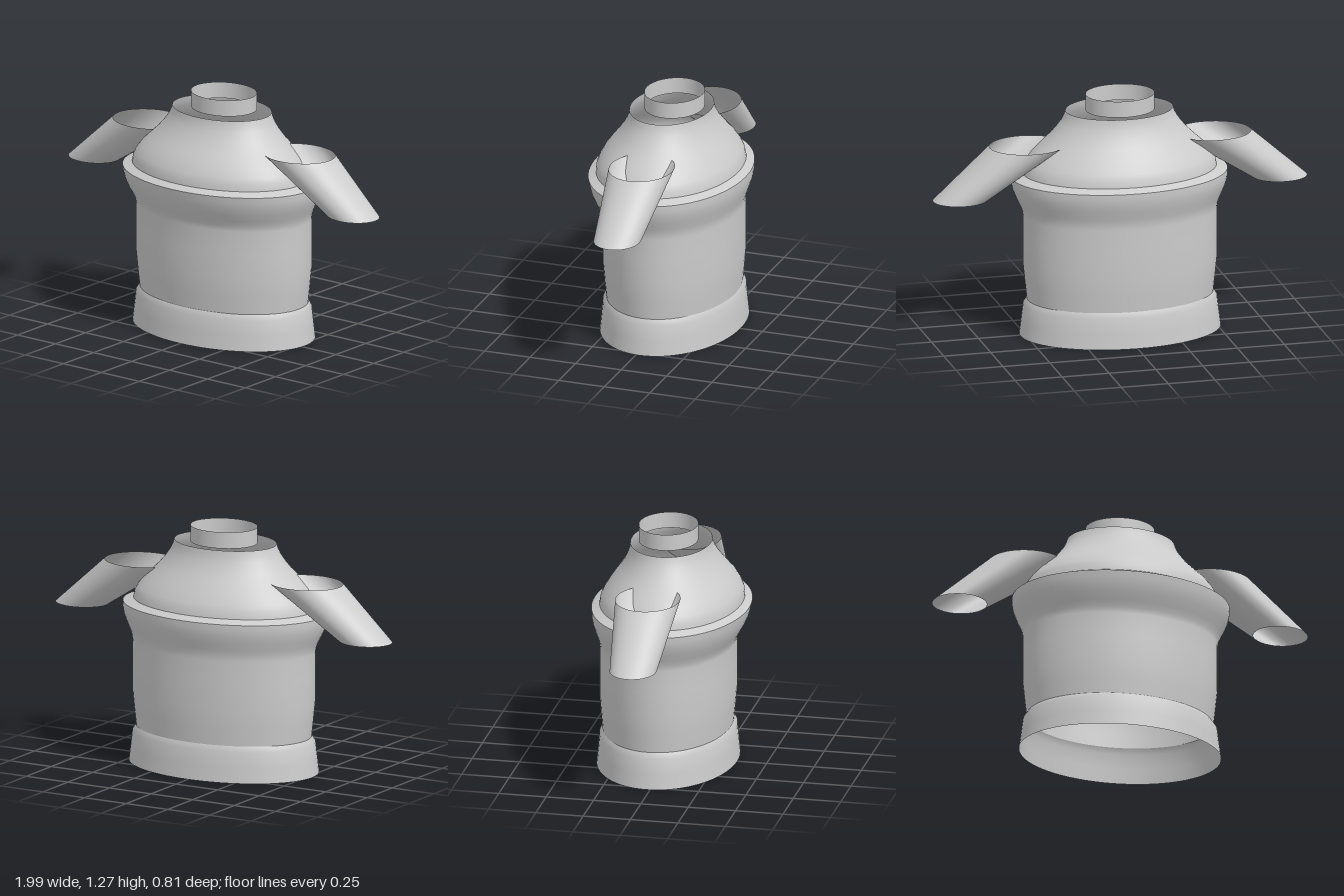
import * as THREE from 'three';

const material = new THREE.MeshStandardMaterial({ color: 0xcccccc, side: THREE.DoubleSide });
const SEGMENTS = 72;

// Open tube through elliptical rings: [y, centre x, centre z, half width, half depth]
function loft(name, rings) {
  const positions = [];
  const index = [];
  for (const [y, cx, cz, rx, rz] of rings) {
    for (let i = 0; i < SEGMENTS; i++) {
      const a = (i / SEGMENTS) * Math.PI * 2;
      positions.push(cx + rx * Math.sin(a), y, cz + rz * Math.cos(a));
    }
  }
  for (let r = 0; r < rings.length - 1; r++) {
    for (let i = 0; i < SEGMENTS; i++) {
      const j = (i + 1) % SEGMENTS;
      const a = r * SEGMENTS + i, b = r * SEGMENTS + j;
      const c = a + SEGMENTS, d = b + SEGMENTS;
      index.push(a, b, d, a, d, c);
    }
  }
  const geometry = new THREE.BufferGeometry();
  geometry.setAttribute('position', new THREE.Float32BufferAttribute(positions, 3));
  geometry.setIndex(index);
  geometry.computeVertexNormals();
  const mesh = new THREE.Mesh(geometry, material);
  mesh.name = name;
  return mesh;
}

// Garment section from a profile of [y, half width, front z, back z]
function section(name, profile) {
  return loft(name, profile.map(([y, rx, front, back]) =>
    [y, 0, (front + back) / 2, rx, (front - back) / 2]));
}

export function createModel() {
  const model = new THREE.Group();
  model.name = 'shirt';

  // Flared hem, open underneath
  model.add(section('hem', [
    [0, 0.53, 0.345, -0.38],
    [0.08, 0.52, 0.337, -0.372],
    [0.16, 0.51, 0.33, -0.365],
    [0.19, 0.49, 0.313, -0.35],
  ]));

  // Torso widening to the chest
  model.add(section('torso', [
    [0.19, 0.49, 0.313, -0.35],
    [0.28, 0.5, 0.322, -0.358],
    [0.38, 0.51, 0.33, -0.365],
    [0.52, 0.51, 0.33, -0.365],
    [0.64, 0.51, 0.33, -0.365],
    [0.67, 0.515, 0.338, -0.367],
    [0.7, 0.527, 0.354, -0.376],
    [0.74, 0.546, 0.376, -0.39],
    [0.78, 0.562, 0.393, -0.402],
    [0.815, 0.569, 0.402, -0.407],
    [0.845, 0.569, 0.408, -0.407],
  ]));

  // Narrow step between the chest and the yoke
  model.add(section('chestLedge', [
    [0.845, 0.569, 0.408, -0.407],
    [0.866, 0.512, 0.37, -0.366],
  ]));

  // Sloping shoulders up to the open neckline
  model.add(section('yoke', [
    [0.866, 0.512, 0.37, -0.366],
    [0.9, 0.505, 0.367, -0.36],
    [0.93, 0.488, 0.355, -0.345],
    [0.97, 0.455, 0.332, -0.32],
    [1.01, 0.412, 0.302, -0.293],
    [1.05, 0.37, 0.27, -0.264],
    [1.09, 0.335, 0.242, -0.239],
    [1.13, 0.306, 0.221, -0.222],
    [1.16, 0.291, 0.21, -0.213],
    [1.187, 0.282, 0.206, -0.21],
  ]));

  // Upright collar, open at both ends
  model.add(section('collar', [
    [1.187, 0.18, 0.135, -0.17],
    [1.273, 0.18, 0.135, -0.17],
  ]));

  // Slanted, tapering sleeves with level openings
  for (const [side, name] of [[1, 'leftSleeve'], [-1, 'rightSleeve']]) {
    model.add(loft(name, [
      [0.762, side * 0.852, -0.018, 0.143, 0.121],
      [1.03, side * 0.493, -0.019, 0.2, 0.167],
    ]));
  }
  return model;
}
